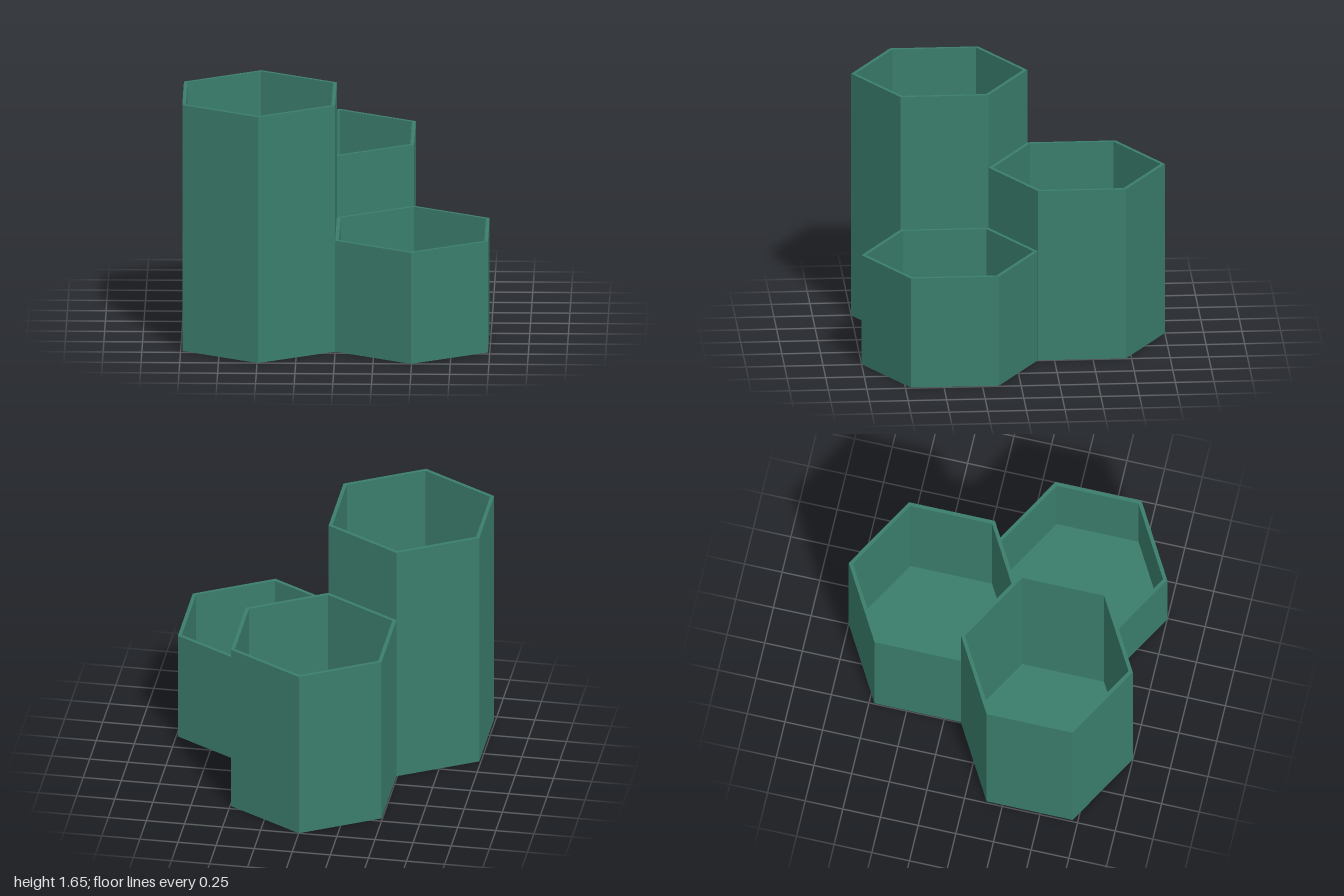
import * as THREE from 'three';

const OUTER = 0.571; // corner radius of each hexagon
const INNER = 0.543; // corner radius of the hollow
const FLOOR = 0.025;

// Hollow hexagonal cup, closed at the bottom, with a corner facing +z
function hexCup(height) {
  const profile = [
    [0, 0], [OUTER, 0], [OUTER, height],
    [INNER, height], [INNER, FLOOR], [0, FLOOR],
  ].map(([r, y]) => new THREE.Vector2(r, y));
  const geometry = new THREE.LatheGeometry(profile, 6).toNonIndexed();
  geometry.computeVertexNormals(); // flat faces
  return geometry;
}

export function createModel() {
  const group = new THREE.Group();
  group.name = 'hexagonalPenHolder';
  const green = new THREE.MeshStandardMaterial({ color: 0x3a7d6b });
  green.name = 'green';

  // Three cups nested in a honeycomb
  const cups = [
    ['tallCup', -0.4945, 0.429, 1.65],
    ['mediumCup', 0, -0.429, 1.155],
    ['shortCup', 0.4945, 0.429, 0.745],
  ];
  for (const [name, x, z, height] of cups) {
    const cup = new THREE.Mesh(hexCup(height), green);
    cup.name = name;
    cup.position.set(x, 0, z);
    group.add(cup);
  }
  return group;
}
